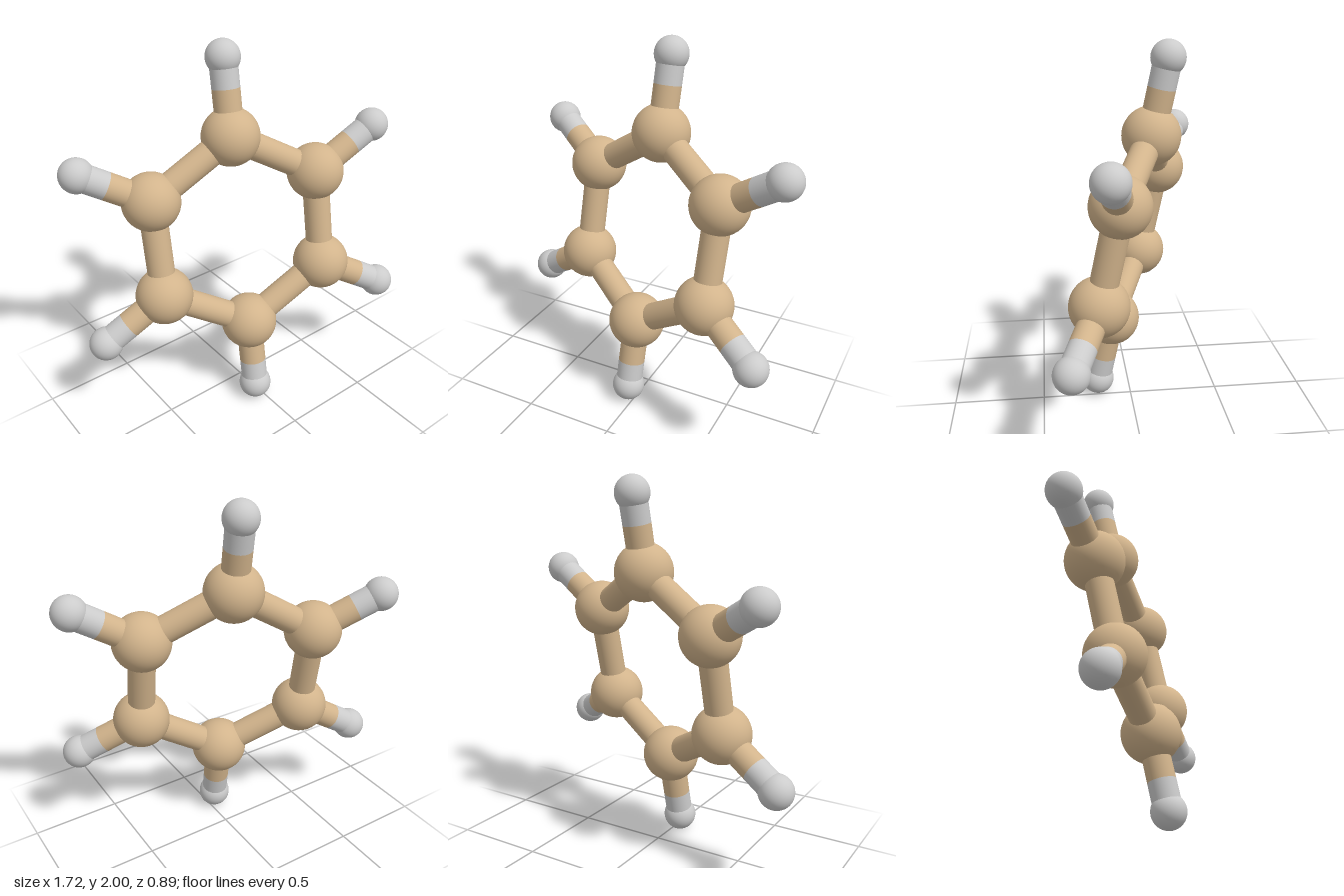
import * as THREE from 'three';

export function createModel() {
  const model = new THREE.Group();
  model.name = 'ringMolecule';
  const tan = new THREE.MeshStandardMaterial({ color: 0xd2b48c });
  const grey = new THREE.MeshStandardMaterial({ color: 0xcccccc });
  const centre = new THREE.Vector3(0, 1, 0);
  const up = new THREE.Vector3(0, 1, 0);

  function ball(name, position, radius, material) {
    const mesh = new THREE.Mesh(new THREE.SphereGeometry(radius, 40, 24), material);
    mesh.name = name;
    mesh.position.copy(position);
    model.add(mesh);
  }

  // Round rod running between two points
  function rod(name, from, to, material) {
    const along = to.clone().sub(from);
    const mesh = new THREE.Mesh(new THREE.CylinderGeometry(0.073, 0.073, along.length(), 32), material);
    mesh.name = name;
    mesh.position.copy(from).add(to).multiplyScalar(0.5);
    mesh.quaternion.setFromUnitVectors(up, along.normalize());
    model.add(mesh);
  }

  // Tilted regular hexagon: two neighbouring corners define the plane
  const a = new THREE.Vector3(0.02, 0.517, -0.105);
  const b = new THREE.Vector3(0.437, 0.274, 0.097);
  const half = [a, b, b.clone().sub(a)];
  const corners = [...half, ...half.map(v => v.clone().negate())];
  const at = (corner, scale) => corner.clone().multiplyScalar(scale).add(centre);

  corners.forEach((corner, i) => {
    const inner = at(corner, 1);
    const split = at(corner, 1.47);
    const outer = at(corner, 1.76);
    ball('ringAtom' + i, inner, 0.154, tan);
    ball('outerAtom' + i, outer, 0.09, grey);
    rod('ringBond' + i, inner, at(corners[(i + 1) % 6], 1), tan);
    // Outward bond changes colour part way
    rod('outerBondInnerHalf' + i, inner, split, tan);
    rod('outerBondOuterHalf' + i, split, outer, grey);
  });

  return model;
}
